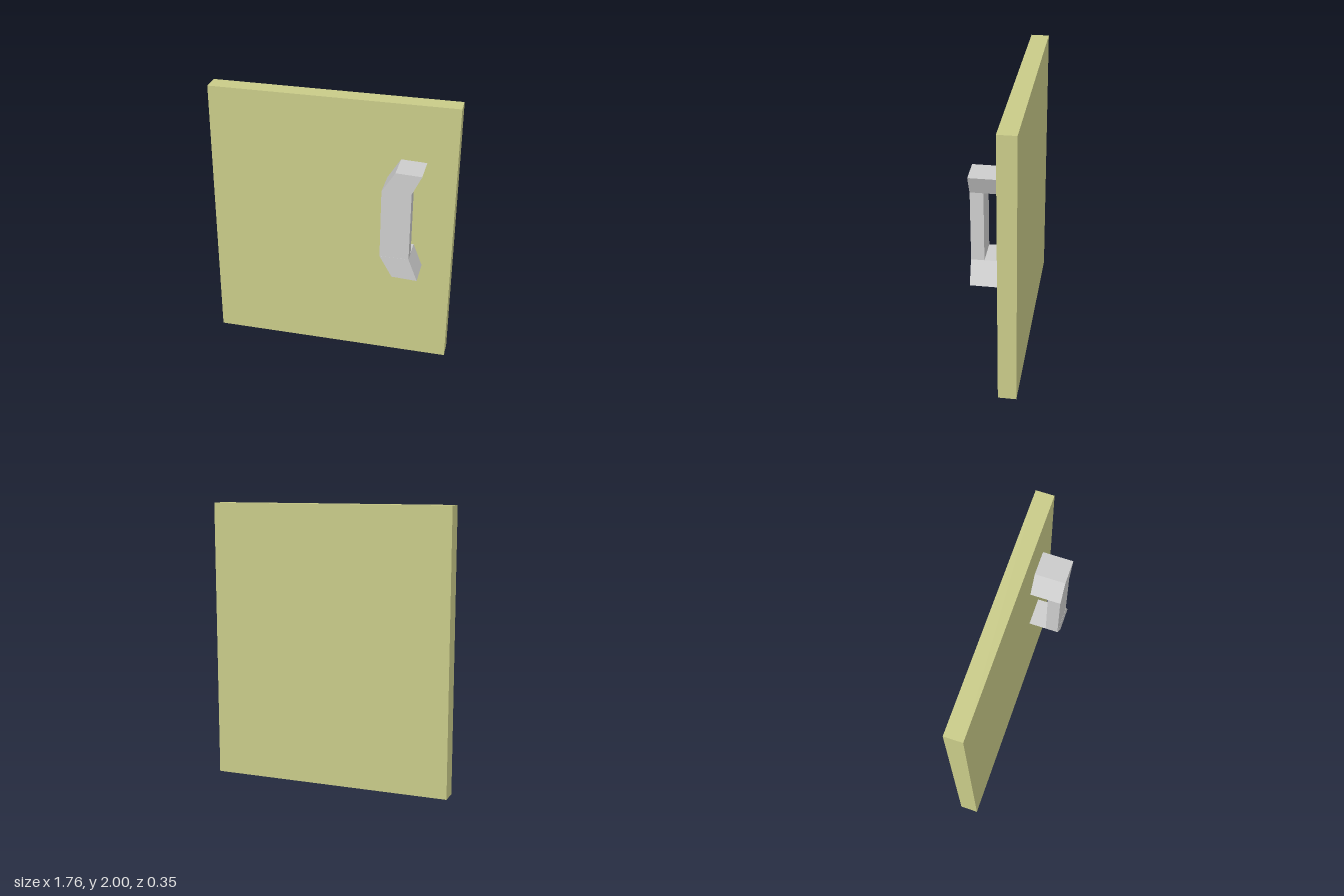
import * as THREE from 'three';

const PANEL_FRONT = -0.044;

// Straight prism: an x/y outline carried from z0 to z1
function prism(name, points, z0, z1, material) {
  const shape = new THREE.Shape(points.map(([x, y]) => new THREE.Vector2(x, y)));
  const geometry = new THREE.ExtrudeGeometry(shape, { depth: z1 - z0, bevelEnabled: false });
  geometry.translate(0, 0, z0);
  const mesh = new THREE.Mesh(geometry, material);
  mesh.name = name;
  return mesh;
}

export function createModel() {
  const model = new THREE.Group();
  model.name = 'doorWithHandle';
  const panelMaterial = new THREE.MeshStandardMaterial({ color: 0xc8ca88 });
  const handleMaterial = new THREE.MeshStandardMaterial({ color: 0xcccccc, flatShading: true });

  // Door panel
  const thickness = 0.129;
  const panel = new THREE.Mesh(new THREE.BoxGeometry(1.756, 2, thickness), panelMaterial);
  panel.name = 'doorPanel';
  panel.position.set(0, 1, PANEL_FRONT - thickness / 2);
  model.add(panel);

  // Pull handle: an upright grip between two slanted ends that meet the panel
  const handle = new THREE.Group();
  handle.name = 'handle';
  const left = 0.4, right = 0.605, low = 0.94, high = 1.45;
  handle.add(
    prism('grip', [[left, low], [right, low], [right, high], [left, high]], 0.082, 0.172, handleMaterial),
    prism('upperEnd', [[left, high], [right, high], [0.67, 1.588], [0.49, 1.596]], PANEL_FRONT, 0.173, handleMaterial),
    prism('lowerEnd', [[left, low], [0.49, 0.783], [0.67, 0.774], [right, low]], PANEL_FRONT, 0.173, handleMaterial)
  );
  model.add(handle);

  return model;
}
